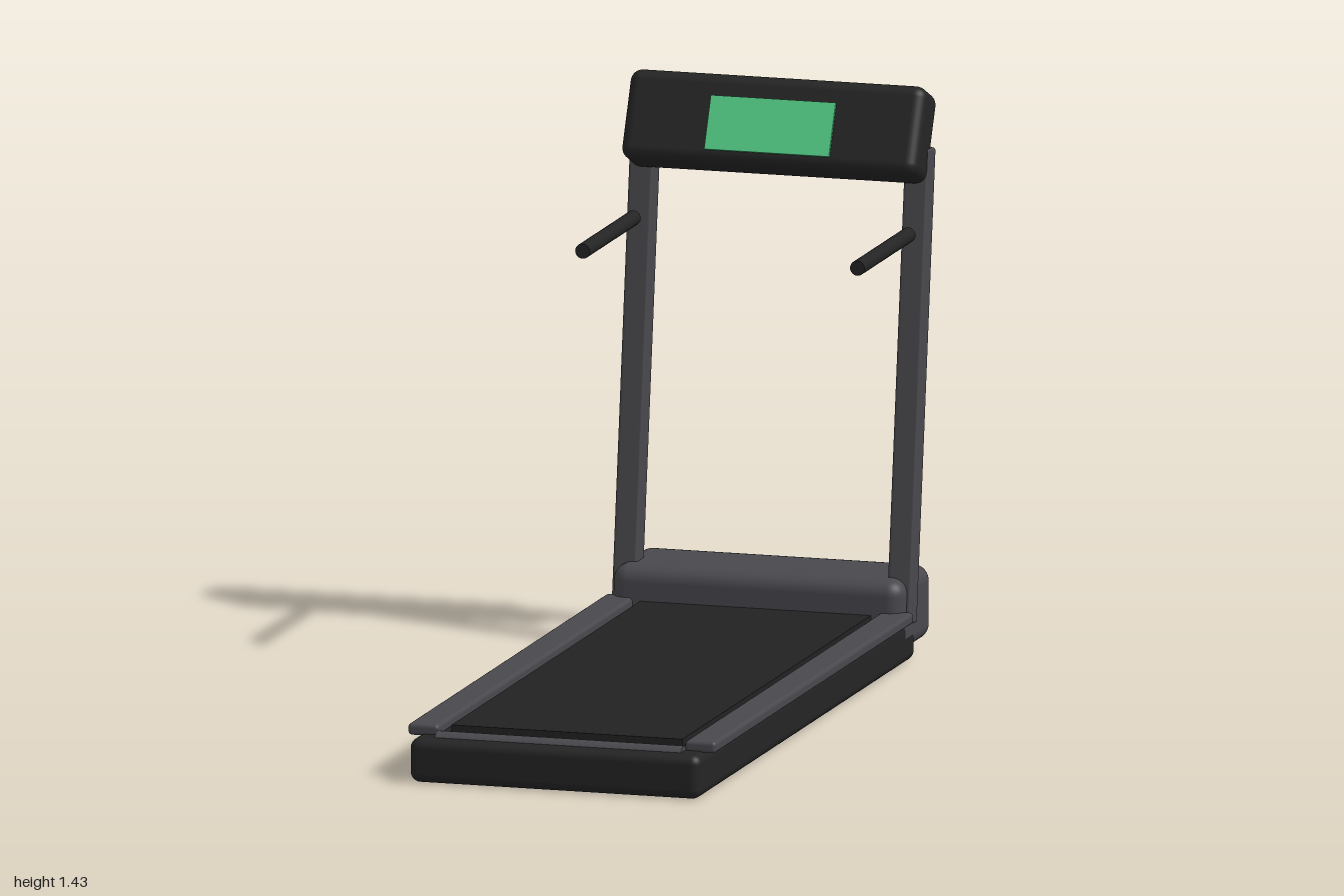
import * as THREE from 'three';
import { RoundedBoxGeometry } from 'three/addons/geometries/RoundedBoxGeometry.js';

const paint = (name, color) => {
  const m = new THREE.MeshStandardMaterial({ color });
  m.name = name;
  return m;
};

export function createModel() {
  const black = paint('black plastic', 0x242424);
  const rubber = paint('belt rubber', 0x222222);
  const grey = paint('grey metal', 0x48484d);
  const green = paint('display green', 0x52cc86);

  const model = new THREE.Group();
  model.name = 'treadmill';

  const add = (name, geometry, material, x, y, z, parent = model) => {
    const mesh = new THREE.Mesh(geometry, material);
    mesh.name = name;
    mesh.position.set(x, y, z);
    parent.add(mesh);
    return mesh;
  };
  const rounded = (w, h, d, r) => new RoundedBoxGeometry(w, h, d, 4, r);

  // Running deck, belt and motor hood
  add('deck', rounded(0.756, 0.112, 1.83, 0.025), black, 0, 0.056, 0.085);
  add('belt', new THREE.BoxGeometry(0.6, 0.03, 1.6), rubber, 0, 0.115, 0.09);
  add('motorHood', rounded(0.756, 0.19, 0.268, 0.04), grey, 0, 0.122, -0.836);

  // Rollers at both ends of the belt
  for (const [name, z] of [['rearRoller', 0.945], ['frontRoller', -0.74]]) {
    add(name, new THREE.CylinderGeometry(0.028, 0.028, 0.64, 24), grey, 0, 0.097, z)
      .rotation.z = Math.PI / 2;
  }

  // Mirrored rails, uprights and handles
  const foot = new THREE.Vector2(-0.775, 0.1);
  const head = new THREE.Vector2(-0.935, 1.275);
  const lean = Math.atan2(head.x - foot.x, head.y - foot.y);
  for (const [side, s] of [['left', 1], ['right', -1]]) {
    add(side + 'Rail', rounded(0.08, 0.03, 1.675, 0.01), grey, s * 0.36, 0.122, 0.098);
    add(side + 'Upright', rounded(0.063, foot.distanceTo(head), 0.064, 0.008), grey,
      s * 0.357, (foot.y + head.y) / 2, (foot.x + head.x) / 2).rotation.x = lean;
    add(side + 'Handle', new THREE.CylinderGeometry(0.019, 0.019, 0.43, 20), black,
      s * 0.357, 1.073, -0.617).rotation.x = Math.PI / 2;
  }

  // Console tilted back, with its display just proud of the face
  const console = new THREE.Group();
  console.name = 'console';
  console.position.set(0, 1.313, -0.9);
  console.rotation.x = -0.43;
  model.add(console);
  add('consoleBody', rounded(0.77, 0.23, 0.128, 0.03), black, 0, 0, 0, console);
  add('display', new THREE.BoxGeometry(0.324, 0.138, 0.008), green, 0, -0.017, 0.073, console);

  return model;
}
